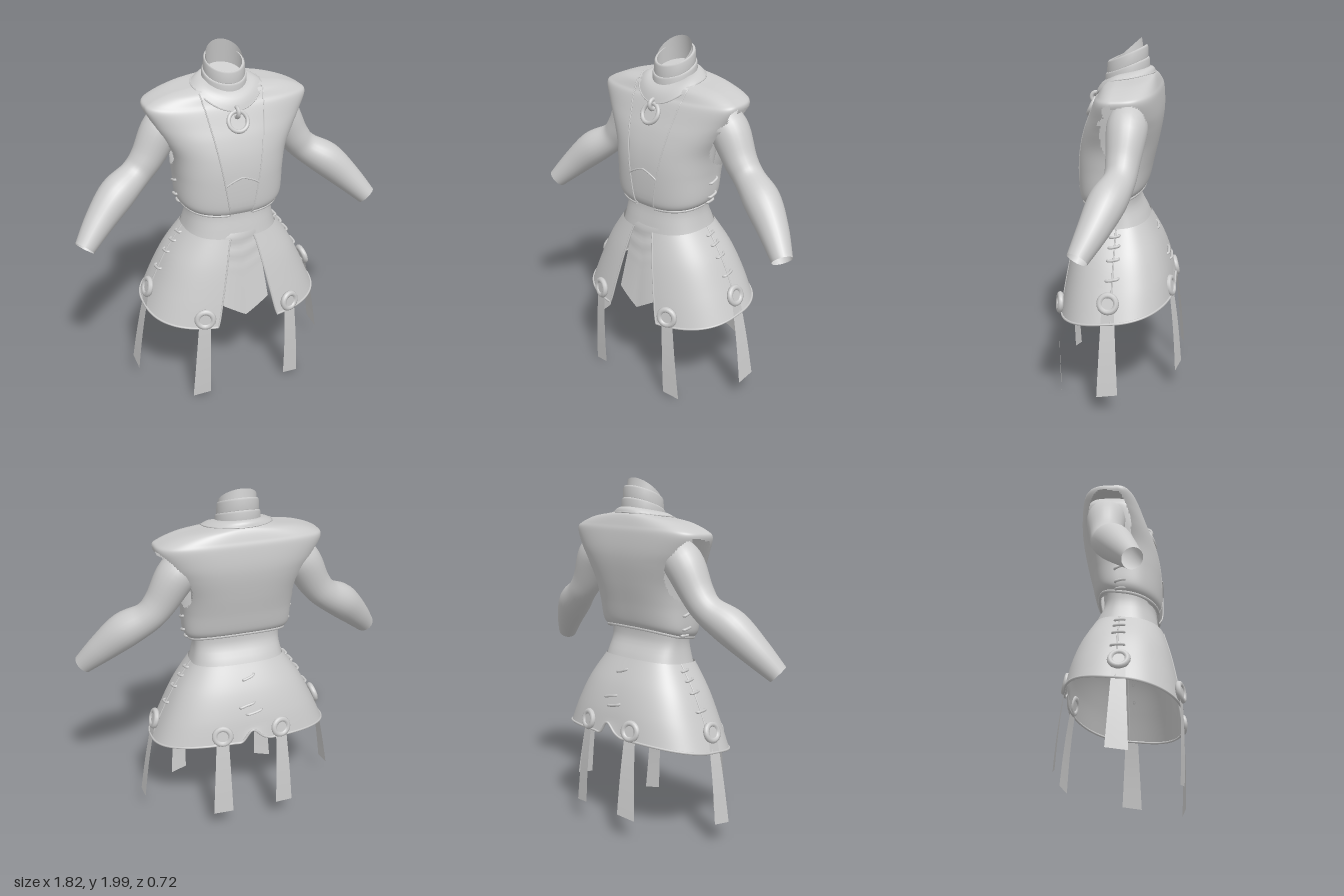
import * as THREE from 'three';
import { mergeVertices } from 'three/addons/utils/BufferGeometryUtils.js';

const mat = new THREE.MeshStandardMaterial({ color: 0xcccccc, side: THREE.DoubleSide });
const { sin, cos, PI, abs, min, max, sign } = Math;
const V = (x, y, z) => new THREE.Vector3(x, y, z);
const lerp = THREE.MathUtils.lerp;
const spow = (v, e) => sign(v) * abs(v) ** e;
const E = 0.78;

// Smooth interpolation through table rows, t in [0,1]
function row(rows, t) {
  const n = rows.length - 1, f = min(max(t, 0), 1) * n, i = min(Math.floor(f), n - 1), k = f - i;
  const a = rows[max(i - 1, 0)], b = rows[i], c = rows[i + 1], d = rows[min(i + 2, n)];
  return b.map((p, j) => {
    const m0 = (c[j] - a[j]) / 2, m1 = (d[j] - p) / 2, q = c[j] - p;
    return p + k * (m0 + k * (3 * q - 2 * m0 - m1 + k * (m0 + m1 - 2 * q)));
  });
}
// Body surface; rows are [front y, back y, half width, front z, back z, back roundness], angle 0 is the front
function body(rows, a, t) {
  const [yf, yb, w, zf, zb, eb] = row(rows, t), front = cos(a) > 0, e = front ? E : eb;
  return V(w * spow(sin(a), e), lerp(yb, yf, (cos(a) + 1) / 2), spow(cos(a), e) * (front ? zf : zb));
}
// Angle of the front opening's edge at half width x
const edge = (rows, t, x) => Math.asin(min(x / row(rows, t)[2], 0.8) ** (1 / E));

function grid(fn, nu, nv, skip) {
  const pos = [], idx = [];
  for (let j = 0; j <= nv; j++) for (let i = 0; i <= nu; i++) pos.push(...fn(i / nu, j / nv).toArray());
  for (let j = 0; j < nv; j++) for (let i = 0; i < nu; i++) {
    if (skip && skip((i + 0.5) / nu, (j + 0.5) / nv)) continue;
    const a = j * (nu + 1) + i, b = a + nu + 1;
    idx.push(a, a + 1, b + 1, a, b + 1, b);
  }
  let g = new THREE.BufferGeometry();
  g.setAttribute('position', new THREE.Float32BufferAttribute(pos, 3));
  g.setIndex(idx);
  g = mergeVertices(g, 1e-5);
  g.computeVertexNormals();
  return g;
}

const VEST = [
  [1.09, 1.17, 0.275, 0.21, 0.13, 0.78], [1.14, 1.21, 0.305, 0.232, 0.155, 0.78],
  [1.3, 1.32, 0.315, 0.235, 0.18, 0.76], [1.42, 1.43, 0.335, 0.222, 0.205, 0.72],
  [1.52, 1.54, 0.385, 0.195, 0.225, 0.68], [1.6, 1.62, 0.43, 0.163, 0.23, 0.64],
  [1.68, 1.71, 0.466, 0.13, 0.222, 0.6], [1.71, 1.75, 0.435, 0.11, 0.21, 0.6],
  [1.745, 1.79, 0.33, 0.095, 0.195, 0.66], [1.765, 1.81, 0.2, 0.085, 0.18, 0.75],
  [1.775, 1.825, 0.12, 0.08, 0.15, 0.9]];
const WAIST = [[0.93, 0.95, 0.28, 0.222, 0.18, E], [1.0, 1.02, 0.262, 0.21, 0.15, E],
  [1.09, 1.11, 0.25, 0.195, 0.105, E], [1.2, 1.22, 0.27, 0.2, 0.11, E]];
const SKIRT = [[0.46, 0.58, 0.52, 0.34, 0.315, E], [0.62, 0.72, 0.455, 0.315, 0.288, E],
  [0.8, 0.86, 0.375, 0.28, 0.24, E], [0.96, 1.0, 0.272, 0.238, 0.165, E]];

export function createModel() {
  const root = new THREE.Group();
  const add = (name, geo, parent = root) => {
    const m = new THREE.Mesh(geo, mat);
    m.name = name;
    parent.add(m);
    return m;
  };
  const tube = (name, pts, r, closed = false) =>
    add(name, new THREE.TubeGeometry(new THREE.CatmullRomCurve3(pts, closed), pts.length * 3, r, 6, closed));
  const line = (fn, n) => Array.from({ length: n + 1 }, (_, i) => fn(i / n));

  // Vest with a tapering front opening and oval armholes, the left one torn in front
  const openAngle = t => edge(VEST, t, lerp(0.065, 0.185, (row(VEST, t)[0] - 1.09) / 0.685));
  const vestAngle = (u, t) => lerp(openAngle(t), 2 * PI - openAngle(t), u);
  const vest = (u, t) => body(VEST, vestAngle(u, t), t);
  add('vest', grid(vest, 160, 110, (u, t) => {
    const a = vestAngle(u, t), c = cos(a);
    const torn = sin(a) > 0 && c > 0 && t > 0.46 ? 1 + 0.7 * abs(sin(t * 30)) : 1;
    return abs(sin(a)) > 0.6 && ((t - 0.41) / 0.18) ** 2 + ((c + 0.2) / 0.48) ** 2 < torn;
  }));
  tube('vestHem', line(u => vest(u, 0.01), 48), 0.009);
  for (const u of [0, 1]) tube('vestFrontEdge', line(t => vest(u, t * 0.86), 24), 0.004);

  // Shirt seen in the opening and through the armholes
  add('shirt', grid((u, t) => {
    const p = body(VEST, u * 2 * PI, t * 0.8);
    return V(0.31 * Math.tanh(p.x / 0.31), p.y, p.z * 0.95);
  }, 64, 32));

  // Chest bib with a pointed lower edge
  const bib = (s, v) => {
    const t = lerp(0.215 - 0.03 * abs(s), 0.86, v);
    return body(VEST, s * openAngle(t), t);
  };
  add('bib', grid((u, v) => bib(u * 2 - 1, v).add(V(0, 0, -0.003)), 12, 30));
  tube('bibTrim', line(u => bib(u * 2 - 1, 0), 12), 0.005);

  // Yoke lying around the neck
  const yoke = (u, v) => {
    const a = u * 2 * PI, c = cos(a), bulge = 0.01 * sin(v * PI);
    const y0 = c > 0 ? 1.79 - 0.115 * c ** 1.6 : 1.79 - 0.025 * c;
    return V(lerp(0.195, 0.11, v) * sin(a), lerp(y0, 1.81 - 0.035 * c, v) + bulge,
      c * (c > 0 ? lerp(0.15, 0.08, v) : lerp(0.185, 0.14, v)) + bulge * c);
  };
  add('yoke', grid(yoke, 40, 6));
  tube('yokeTrim', line(u => yoke(u, 0), 40).slice(0, -1), 0.004, true);

  // Neck with a slanted open rim, closed inside, wrapped by two leaning collar bands
  add('neck', grid((u, v) => {
    const a = u * 2 * PI, c = cos(a), r = lerp(0.112, 0.104, v);
    const z = lerp(-0.03, -0.022, v) + c * lerp(0.108, 0.085, v);
    return V(r * sin(a), lerp(1.76 - 0.05 * c, 1.925 - 0.075 * c, v), z);
  }, 36, 6));
  const floor = add('neckFloor', new THREE.CircleGeometry(0.105, 32));
  floor.position.set(0, 1.83, -0.03);
  floor.rotation.x = -PI / 2 + 0.35;
  const band = [[1, 0], [1.05, 0.008], [1.03, 0.06], [0.98, 0.07], [0.9, 0.068]];
  for (const [y, z, r] of [[1.78, -0.03, 0.119], [1.845, -0.03, 0.109]]) {
    add('collarBand', grid((u, v) => {
      const a = u * 2 * PI, [k, h] = band[Math.round(v * 4)];
      return V(r * k * sin(a), y + h - 0.045 * cos(a), z + r * k * cos(a));
    }, 36, 4));
  }

  // Chest ring hanging from a small loop
  const pendant = new THREE.Group();
  pendant.name = 'chestRing';
  pendant.position.set(0, 1.622, 0.168);
  pendant.rotation.x = -0.45;
  add('ring', new THREE.TorusGeometry(0.055, 0.012, 10, 28), pendant);
  const loop = add('ringLoop', new THREE.TorusGeometry(0.027, 0.012, 8, 18), pendant);
  loop.position.y = 0.05;
  loop.rotation.y = PI / 2;
  root.add(pendant);

  // Waist
  add('waist', grid((u, t) => body(WAIST, u * 2 * PI, t), 56, 10));

  // Skirt open at the front, with a notch torn in the back hem
  const skirt = (u, t) => {
    const o = edge(SKIRT, t, lerp(0.185, 0.07, t)), a = o + u * (2 * PI - 2 * o);
    const p = body(SKIRT, a, t);
    p.y += 0.08 * max(0, 1 - abs(p.x + 0.01) / 0.07) * max(0, 1 - t * 5) * (p.z < 0 ? 1 : 0);
    return p;
  };
  add('skirt', grid(skirt, 84, 24));
  tube('skirtHem', line(u => skirt(u, 0), 84), 0.007);
  for (const u of [0, 1]) tube('skirtFrontEdge', line(t => skirt(u, t), 12), 0.005);

  // Pointed front flap with shallow folds near the waist
  add('frontFlap', grid((u, v) => {
    const s = u * 2 - 1;
    return V(s * lerp(0.1, 0.145, v), lerp(0.98, 0.485 + 0.085 * abs(s), v),
      lerp(0.22, 0.298, v) - 0.018 * s * s + 0.004 * sin(v * 32 + s) * max(0, 1 - v * 1.8));
  }, 12, 24));

  // Lacing on a body surface around angle a
  const stitch = (name, rows, a, t, d, slant = 0) => tube(name, [-1, -0.8, 0, 0.8, 1].map((s, i) => {
    const p = body(rows, a + s * d, t + slant * s), k = [0.98, 1.02, 1.03, 1.02, 0.98][i];
    return V(p.x * k, p.y, p.z * k);
  }), 0.008);

  for (const s of [1, -1]) {
    for (const t of [0.48, 0.68, 0.8, 0.9]) stitch('skirtLace', SKIRT, s * PI / 2, t, 0.07, 0.01);
    tube('skirtSeam', line(t => body(SKIRT, s * PI / 2, t), 10), 0.005);
    for (const t of [0.05, 0.11, 0.17]) stitch('vestLace', VEST, s * PI / 2, t, 0.08, 0.008);

    // Arm: round sections along a bent path, open at the wrist
    const rows = [[0.25, 1.62, -0.07, 0.09], [0.35, 1.555, -0.07, 0.11], [0.445, 1.4, -0.06, 0.092],
      [0.52, 1.315, -0.05, 0.086], [0.64, 1.235, -0.005, 0.1], [0.76, 1.12, 0.05, 0.082],
      [0.865, 1.005, 0.11, 0.057]];
    add(s > 0 ? 'leftArm' : 'rightArm', grid((u, v) => {
      const [x, y, z, r] = row(rows, v), p = row(rows, v - 0.03), q = row(rows, v + 0.03);
      const dir = V(q[0] - p[0], q[1] - p[1], q[2] - p[2]).normalize();
      const side = V(0, 0, 1).addScaledVector(dir, -dir.z).normalize(), up = V().crossVectors(side, dir);
      const o = V(x, y, z).addScaledVector(side, r * cos(u * 2 * PI)).addScaledVector(up, r * sin(u * 2 * PI));
      o.x *= s;
      return o;
    }, 24, 36));

    // Medallions with hanging straps: [name, centre, outward, strap end, across, end width]
    const hangings = [
      ['front', V(0.262, 0.53, 0.325), V(0.3, 0.1, 1), V(0.285, 0.02, 0.32), V(1, 0, -0.2), 0.1],
      ['side', V(0.497, 0.63, 0.015), V(1, 0.3, 0), V(0.585, 0.125, 0.01), V(0, 0, 1), 0.115],
      ['back', V(0.175, 0.63, -0.3), V(0.2, 0.2, -1), V(0.187, 0.14, -0.35), V(1, 0, 0.25), 0.11]];
    for (const [name, c, out, end, across, w] of hangings) {
      for (const v of [c, out, end, across]) v.x *= s;
      const g = new THREE.Group();
      g.name = name + 'Medallion';
      g.position.copy(c);
      g.lookAt(c.clone().add(out));
      add('rim', new THREE.TorusGeometry(0.045, 0.017, 8, 20), g);
      add('disc', new THREE.CylinderGeometry(0.042, 0.042, 0.014, 20), g).rotation.x = PI / 2;
      root.add(g);
      add(name + 'Strap', grid((u, v) => {
        const p = c.clone().lerp(end, v).addScaledVector(across, (u - 0.5) * lerp(0.065, w, v));
        p.addScaledVector(out, 0.006 * sin(v * PI));
        p.y -= (u - 0.5) * 0.018 * v;
        return p;
      }, 2, 10));
    }
  }
  // Slanted repair stitches on the back of the skirt
  for (const [a, t] of [[0.03, 0.4], [-0.03, 0.5], [0.02, 0.82]]) stitch('backStitch', SKIRT, PI + a, t, 0.06, 0.025);
  return root;
}
